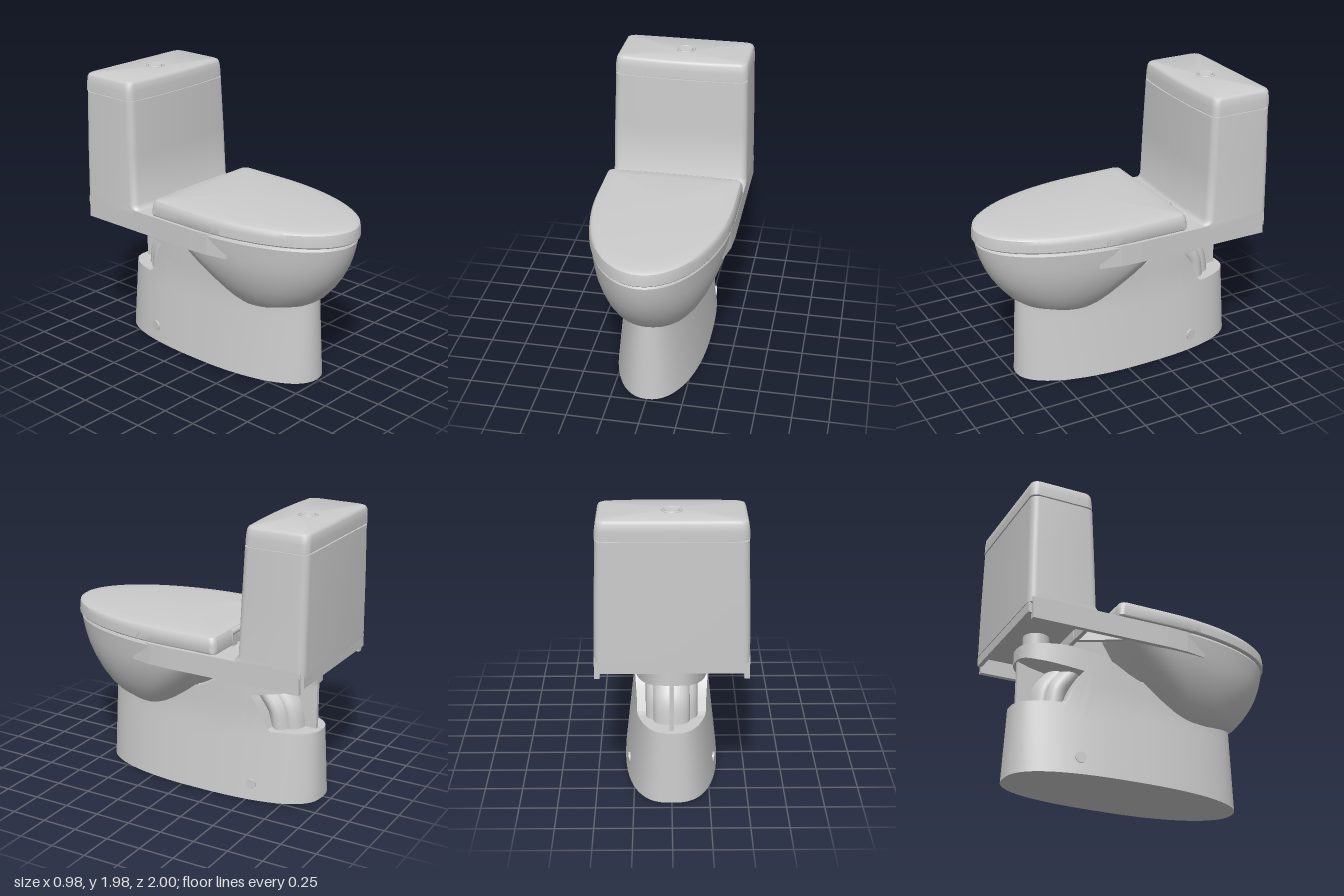
import * as THREE from 'three';
import { toCreasedNormals } from 'three/addons/utils/BufferGeometryUtils.js';

const PI = Math.PI;
const mat = new THREE.MeshStandardMaterial({ color: 0xcccccc });
const V = (x, y, z) => new THREE.Vector3(x, y, z);

function add(group, name, geo, x = 0, y = 0, z = 0) {
  const m = new THREE.Mesh(geo, mat);
  m.name = name;
  m.position.set(x, y, z);
  group.add(m);
  return m;
}

// Skin closed rings from bottom to top, with a fan at each end
function loft(rings, crease = 0.5) {
  const n = rings[0].length, pos = [], idx = [];
  rings.forEach(r => r.forEach(p => pos.push(p.x, p.y, p.z)));
  for (let j = 0; j < rings.length - 1; j++) for (let i = 0; i < n; i++) {
    const a = j * n + i, b = j * n + (i + 1) % n;
    idx.push(a, b, b + n, a, b + n, a + n);
  }
  [0, rings.length - 1].forEach((j, top) => {
    const c = rings[j].reduce((s, p) => s.add(p), V(0, 0, 0)).divideScalar(n);
    pos.push(c.x, c.y, c.z);
    const ci = pos.length / 3 - 1;
    for (let i = 0; i < n; i++) {
      const a = j * n + i, b = j * n + (i + 1) % n;
      top ? idx.push(ci, a, b) : idx.push(ci, b, a);
    }
  });
  const g = new THREE.BufferGeometry();
  g.setAttribute('position', new THREE.Float32BufferAttribute(pos, 3));
  g.setIndex(idx);
  return toCreasedNormals(g, crease);
}

// Plan outlines, running from the front towards +x
const arc = (cx, cz, rx, rz, a0, a1, n, y) => Array.from({ length: n + 1 }, (_, i) => {
  const a = a0 + (a1 - a0) * i / n;
  return V(cx + rx * Math.sin(a), y, cz + rz * Math.cos(a));
});
function oval(y, hw, zf, zb, zm, ef = 2, eb = 2, n = 96) {
  return Array.from({ length: n }, (_, i) => {
    const a = 2 * PI * i / n, s = Math.sin(a), c = Math.cos(a), e = 2 / (c > 0 ? ef : eb);
    return V(Math.sign(s) * hw * Math.abs(s) ** e, y,
      zm + Math.sign(c) * (c > 0 ? zf - zm : zm - zb) * Math.abs(c) ** e);
  });
}
const dRing = (y, hw, zf, zb, r = 0.04) => [
  ...arc(0, 0, hw, zf, -PI / 2, PI / 2, 48, y),
  ...arc(hw - r, zb + r, r, r, PI / 2, PI, 6, y),
  ...arc(r - hw, zb + r, r, r, PI, 1.5 * PI, 6, y)];
function boxRing(y, hw, zf, zb, r = 0.05, bow = 0.02) {
  const front = [-0.75, -0.5, -0.25, 0, 0.25, 0.5, 0.75]
    .map(u => V(u * (hw - r), y, zf - bow * u * u));
  return [...front,
    ...arc(hw - r, zf - bow - r, r, r, 0, PI / 2, 6, y),
    ...arc(hw - r, zb + r, r, r, PI / 2, PI, 6, y),
    ...arc(r - hw, zb + r, r, r, PI, 1.5 * PI, 6, y),
    ...arc(r - hw, zf - bow - r, r, r, 1.5 * PI, 2 * PI, 6, y)];
}

// Piecewise-linear height over z, points listed with falling z
function heightAt(pts, z) {
  if (z >= pts[0][0]) return pts[0][1];
  for (let i = 1; i < pts.length; i++) if (z >= pts[i][0]) {
    const [z0, y0] = pts[i - 1], [z1, y1] = pts[i];
    return y0 + (y1 - y0) * (z - z0) / (z1 - z0);
  }
  return pts[pts.length - 1][1];
}
const flat = ring => ring.map(p => V(0, p.y, p.z));
const ARM_TOP = [[-0.12, 0.74], [-0.2, 0.785], [-0.3, 0.84], [-0.4, 0.875], [-0.5, 0.9], [-0.62, 0.917], [-0.88, 0.92]];
const ARM_LOW = [[-0.5, 0.745], [-0.65, 0.77], [-0.8, 0.8], [-0.89, 0.83]];

function buildBase(g) {
  // Foot: tapered oval wall whose top follows the arm, then steps down to a shelf
  const top = z => z > -0.5 ? heightAt(ARM_TOP, z) : heightAt([[-0.5, 0.76], [-0.56, 0.68], [-0.64, 0.5]], z);
  const rings = [];
  for (let k = 0; k <= 8; k++) {
    rings.push(oval(0, 1, 0.73, -0.94, -0.1, 2.2, 2.6, 128).map(p => {
      const y = top(p.z) * k / 8;
      return V(p.x * (0.32 - 0.11 * Math.min(y, 0.55)), y, p.z * (1 - 0.045 * y));
    }));
  }
  rings.push(flat(rings[8]));
  add(g, 'pedestal', loft(rings));

  // Arm reaching back under the tank
  const plan = oval(0, 0.25, 0.5, -0.89, -0.19, 2.2, 2.6, 128);
  const low = plan.map(p => V(p.x, heightAt(ARM_LOW, p.z), p.z));
  const high = plan.map(p => V(p.x, Math.max(heightAt(ARM_TOP, p.z), 0.75), p.z));
  add(g, 'rearArm', loft([flat(low), low, high, flat(high)]));

  // Trap bends and the web behind them
  [[-0.48, -0.66, 0.09, 1.9], [-0.55, -0.73, 0.075, 1.6]].forEach(([z0, z1, r, sx]) => {
    const path = new THREE.CatmullRomCurve3([V(0, 0.82, z0 - 0.02), V(0, 0.74, z0 - 0.07),
      V(0, 0.63, z1 + 0.03), V(0, 0.47, z1)]);
    add(g, 'trapBend', new THREE.TubeGeometry(path, 20, r, 20)).scale.x = sx;
  });
  add(g, 'rearWeb', new THREE.BoxGeometry(0.03, 0.36, 0.26), 0, 0.66, -0.75);

  // Bolt caps
  for (const s of [-1, 1]) {
    const cap = add(g, 'boltCap', new THREE.CylinderGeometry(0.037, 0.037, 0.03, 24), s * 0.281, 0.115, -0.53);
    cap.rotation.set(0, s * 0.15, -s * PI / 2);
  }
}

function buildBowl(g) {
  // [y, half width, front z, back z, middle z, back squareness]
  const rows = [[0.51, 0.14, 0.45, 0.2, 0.32, 2], [0.53, 0.235, 0.58, 0.1, 0.31, 2], [0.57, 0.28, 0.69, 0.03, 0.3, 2],
    [0.62, 0.32, 0.755, -0.03, 0.27, 2], [0.7, 0.371, 0.825, -0.11, 0.22, 2.1], [0.78, 0.411, 0.88, -0.18, 0.16, 2.3],
    [0.86, 0.444, 0.923, -0.235, 0.1, 2.5], [0.94, 0.466, 0.953, -0.28, 0.04, 3], [1.01, 0.48, 0.972, -0.32, 0, 3.6],
    [1.055, 0.486, 0.98, -0.34, 0, 4], [1.07, 0.48, 0.972, -0.34, 0, 4]];
  add(g, 'bowl', loft(rows.map(([y, hw, zf, zb, zm, eb]) => oval(y, hw, zf, zb, zm, 2, eb))));
}

function buildDeck(g) {
  add(g, 'deckPlate', new THREE.BoxGeometry(0.97, 0.038, 0.98), 0, 1.049, -0.49);
  // Hollow skirt: side walls fading into the bowl
  for (const s of [-1, 1]) {
    const pts = [[0.455, 0.97], [0.49, 0.97], [0.49, 0], [0.481, -0.15], [0.448, -0.3], [0.41, -0.3], [0.455, 0]];
    const shape = new THREE.Shape(pts.map(([x, y]) => new THREE.Vector2(s * x, y)));
    const wall = new THREE.ExtrudeGeometry(shape, { depth: 0.148, bevelEnabled: false });
    wall.rotateX(-PI / 2);
    add(g, 'deckSkirt', wall, 0, 0.92, 0);
    const rib = add(g, 'deckRib', new THREE.BoxGeometry(0.03, 0.08, 0.34), s * 0.3, 0.995, -0.42);
    rib.rotation.y = s * 0.5;
  }
  add(g, 'rearLip', new THREE.BoxGeometry(0.93, 0.09, 0.03), 0, 1.01, -0.98);
  add(g, 'crossRib', new THREE.BoxGeometry(0.92, 0.08, 0.03), 0, 0.995, -0.56);
  add(g, 'flushChannel', new THREE.BoxGeometry(0.3, 0.3, 0.42), 0, 0.885, -0.36);
  add(g, 'drainPipe', new THREE.CylinderGeometry(0.09, 0.09, 0.16, 28), 0, 0.96, -0.75);
  const ring = add(g, 'inletRing', new THREE.TorusGeometry(0.035, 0.012, 8, 24), -0.3, 1.028, -0.8);
  ring.rotation.x = PI / 2;
}

function buildSeat(g) {
  add(g, 'seatGasket', loft([dRing(1.06, 0.465, 0.96, -0.33), dRing(1.09, 0.465, 0.96, -0.33)]));
  const rings = [dRing(1.08, 0.487, 0.99, -0.36), dRing(1.088, 0.492, 0.998, -0.362), dRing(1.14, 0.49, 0.996, -0.357),
    dRing(1.168, 0.486, 0.99, -0.352), dRing(1.182, 0.476, 0.978, -0.342), dRing(1.188, 0.46, 0.955, -0.33)];
  // Gently domed top, a little higher towards the back
  for (const k of [0.85, 0.65, 0.4, 0.15]) {
    rings.push(rings[5].map(p => V(p.x * k, 1.188 + 0.024 * (1 - k * k), 0.1 + (p.z - 0.1) * k)));
  }
  rings.slice(4).forEach(r => r.forEach(p => { p.y += 0.008 * (0.3 - p.z); }));
  add(g, 'seatLid', loft(rings, 0.6));
  const hinge = add(g, 'hingeBar', new THREE.CylinderGeometry(0.02, 0.02, 0.52, 16), 0, 1.165, -0.35);
  hinge.rotation.z = PI / 2;
  for (const s of [-1, 1]) add(g, 'hingePost', new THREE.BoxGeometry(0.06, 0.1, 0.035), s * 0.22, 1.11, -0.345);
}

function buildTank(g) {
  add(g, 'tank', loft([boxRing(1.035, 0.49, -0.46, -1), boxRing(1.068, 0.49, -0.465, -1), boxRing(1.08, 0.49, -0.483, -1),
    boxRing(1.105, 0.489, -0.498, -1), boxRing(1.45, 0.482, -0.51, -1), boxRing(1.835, 0.47, -0.525, -0.997)], 0.7));
  add(g, 'tankGap', loft([boxRing(1.82, 0.46, -0.535, -0.985), boxRing(1.86, 0.46, -0.535, -0.985)]));
  add(g, 'tankLid', loft([boxRing(1.845, 0.473, -0.528, -1), boxRing(1.9, 0.471, -0.531, -1), boxRing(1.945, 0.465, -0.536, -0.997),
    boxRing(1.96, 0.458, -0.543, -0.99), boxRing(1.967, 0.445, -0.556, -0.977)], 0.7));
  // Two-part flush button in a ring
  const rim = add(g, 'buttonRim', new THREE.TorusGeometry(0.058, 0.008, 8, 40), 0, 1.967, -0.77);
  rim.rotation.x = PI / 2;
  for (const s of [0, 1]) {
    add(g, 'buttonHalf', new THREE.CylinderGeometry(0.044, 0.046, 0.012, 24, 1, false, s * PI, PI),
      s ? -0.003 : 0.003, 1.969, -0.77);
  }
}

export function createModel() {
  const model = new THREE.Group();
  model.name = 'toilet';
  const parts = { base: buildBase, bowlBody: buildBowl, deck: buildDeck, seat: buildSeat, cistern: buildTank };
  for (const [name, build] of Object.entries(parts)) {
    const g = new THREE.Group();
    g.name = name;
    build(g);
    model.add(g);
  }
  return model;
}
